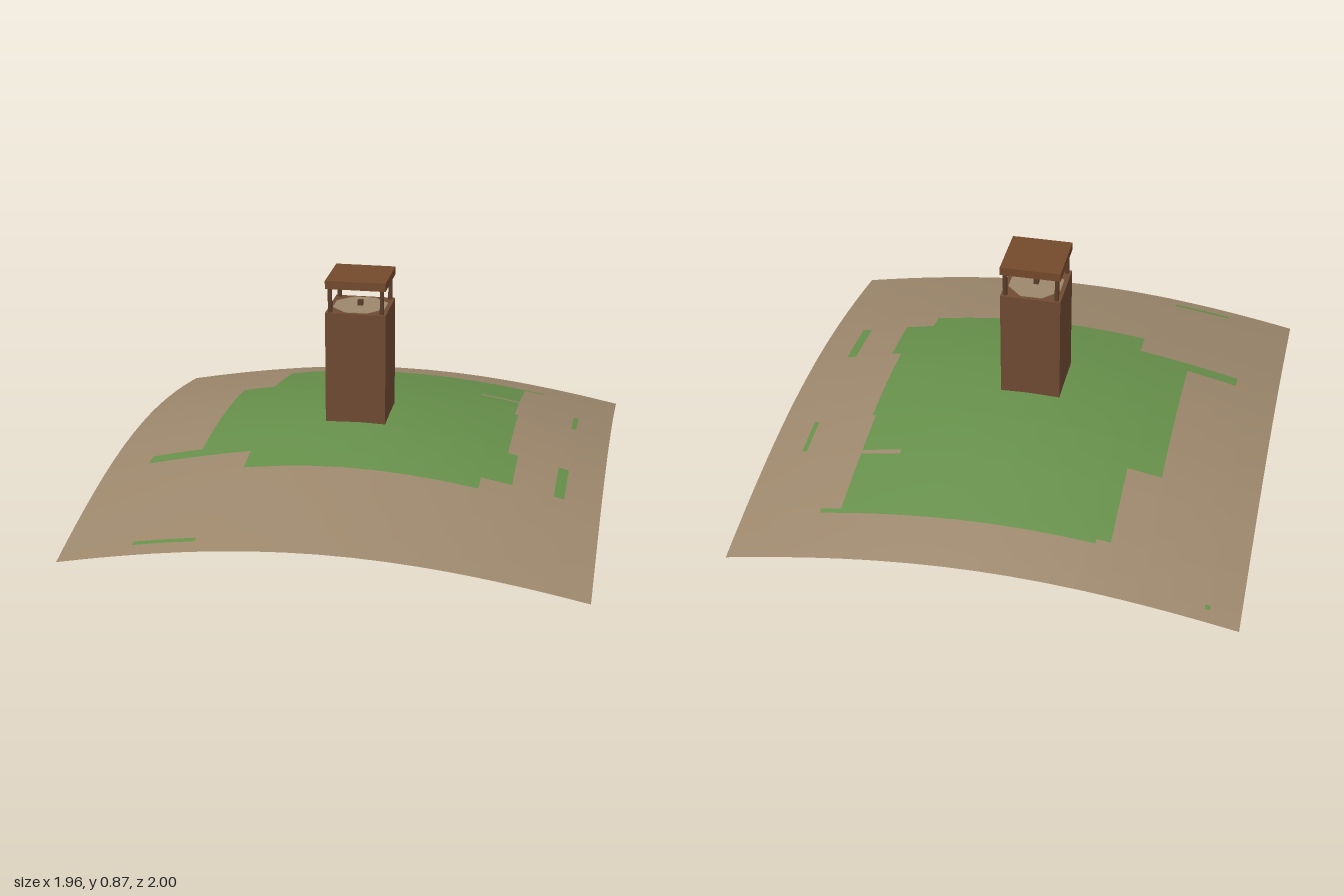
import * as THREE from 'three';

const mat = (name, color, extra = {}) => Object.assign(new THREE.MeshStandardMaterial({ color, ...extra }), { name });
const sand = mat('sand', 0x9c876c, { side: THREE.DoubleSide });
const grass = mat('grass', 0x668f4a, { side: THREE.DoubleSide });
const wood = mat('wood', 0x6e4a32);
const roofWood = mat('roof wood', 0x74492b);
const darkWood = mat('dark wood', 0x5a3c28);

// Grass rectangles on the hill: x0, x1, z0, z1
const lawns = [
  [-0.6, 0.585, -0.405, 0.365], [0.585, 0.6, -0.27, 0.405],
  [-0.465, 0.585, -0.77, -0.405], [-0.41, 0.665, -0.79, -0.77],
  [-0.805, -0.6, 0.305, 0.365], [-0.39, 0.52, 0.365, 0.485],
  [0.52, 0.64, 0.165, 0.405], [0.8, 0.84, 0.165, 0.405],
  [0.82, 0.84, -0.465, -0.29], [-0.705, -0.465, 0.92, 0.94],
  [-0.865, -0.845, -0.945, -0.925],
];
const slit = [0.425, 0.585, -0.49, -0.47];
const inside = (r, x, z) => x > r[0] && x < r[1] && z > r[2] && z < r[3];
const isGrass = (x, z) => !inside(slit, x, z) && lawns.some(r => inside(r, x, z));

// Rounded dome that falls off almost straight towards the corners
const height = (x, z) => 0.48 - Math.sqrt(0.0361 + 0.099 * (x * x + z * z));

// Regular grid lines plus the borders of the grass rectangles
function gridLines(half, a, b) {
  const lines = [];
  for (let i = 0; i <= 16; i++) lines.push(-half + (2 * half * i) / 16);
  [...lawns, slit].forEach(r => lines.push(r[a], r[b]));
  return [...new Set(lines.map(v => +v.toFixed(4)))].sort((p, q) => p - q);
}

function makeHill() {
  const xs = gridLines(0.98, 0, 1), zs = gridLines(1, 2, 3);
  const positions = [], sandFaces = [], grassFaces = [];
  for (const z of zs) for (const x of xs) positions.push(x, Math.max(0, height(x, z)), z);
  for (let j = 0; j < zs.length - 1; j++) {
    for (let i = 0; i < xs.length - 1; i++) {
      const a = j * xs.length + i, b = a + 1, c = a + xs.length, d = c + 1;
      const green = isGrass((xs[i] + xs[i + 1]) / 2, (zs[j] + zs[j + 1]) / 2);
      (green ? grassFaces : sandFaces).push(a, c, b, b, c, d);
    }
  }
  const geo = new THREE.BufferGeometry();
  geo.setAttribute('position', new THREE.Float32BufferAttribute(positions, 3));
  geo.setIndex([...sandFaces, ...grassFaces]);
  geo.addGroup(0, sandFaces.length, 0);
  geo.addGroup(sandFaces.length, grassFaces.length, 1);
  geo.computeVertexNormals();
  const hill = new THREE.Mesh(geo, [sand, grass]);
  hill.name = 'hill';
  return hill;
}

function makeTower() {
  const tower = new THREE.Group();
  tower.name = 'watchtower';
  const add = (name, geo, material, x, y, z) => {
    const mesh = new THREE.Mesh(geo, material);
    mesh.name = name;
    mesh.position.set(x, y, z);
    tower.add(mesh);
  };
  const box = (name, w, y0, y1, material, x = 0, z = 0) =>
    add(name, new THREE.BoxGeometry(w, y1 - y0, w), material, x, (y0 + y1) / 2, z);

  // Shaft sunk a little through the hill
  box('shaft', 0.24, 0.25, 0.735, wood);
  // Sandy lookout floor
  add('lookoutFloor', new THREE.CylinderGeometry(0.112, 0.112, 0.004, 8).rotateY(Math.PI / 8), sand, 0, 0.735, 0);
  box('centrePeg', 0.02, 0.735, 0.758, darkWood);
  // Corner posts and flat roof
  for (const sx of [-1, 1]) for (const sz of [-1, 1])
    box('roofPost', 0.015, 0.735, 0.835, darkWood, sx * 0.103, sz * 0.103);
  box('roof', 0.24, 0.833, 0.866, roofWood);

  tower.position.set(-0.015, 0, 0.015);
  return tower;
}

export function createModel() {
  const model = new THREE.Group();
  model.name = 'hillWatchtower';
  model.add(makeHill(), makeTower());
  return model;
}
